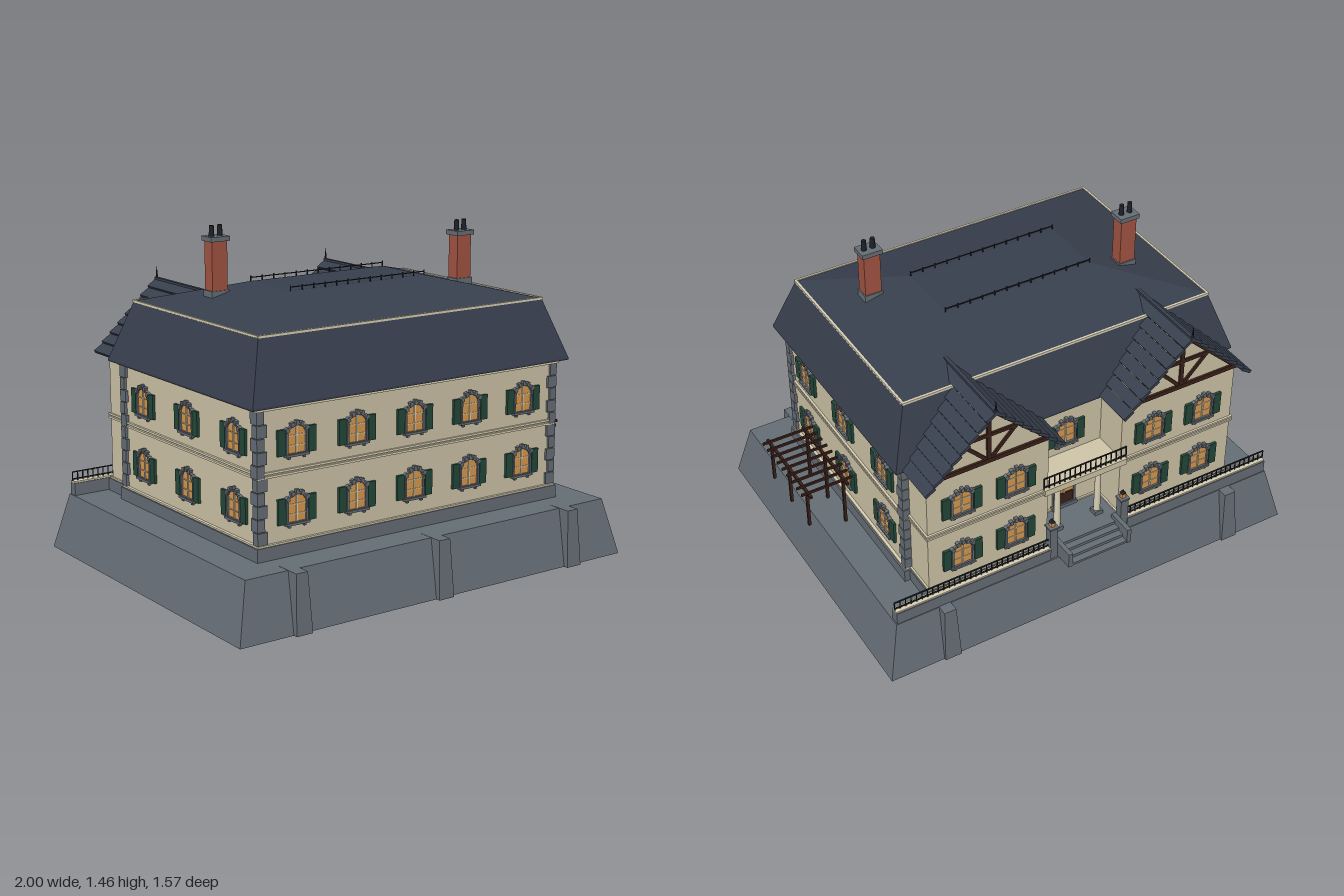
import * as THREE from 'three';

const mat = (name, color) => Object.assign(new THREE.MeshStandardMaterial({ color }), { name });
const M = {
  stone: mat('grey stone', 0x666e76), plaster: mat('cream plaster', 0xcfc5a8),
  trim: mat('pale trim', 0xd9d0b4), roof: mat('dark slate', 0x383f4d),
  timber: mat('dark timber', 0x3b2119), shutter: mat('green paint', 0x24483a),
  glow: mat('lit glass', 0xd9994e), brick: mat('red brick', 0xa35443), iron: mat('black iron', 0x1d2127),
};

function add(parent, name, geo, m, x = 0, y = 0, z = 0) {
  const mesh = new THREE.Mesh(geo, m);
  mesh.name = name;
  mesh.position.set(x, y, z);
  parent.add(mesh);
  return mesh;
}
// Box given by its two corners
function box(parent, name, m, x0, x1, y0, y1, z0, z1) {
  return add(parent, name, new THREE.BoxGeometry(x1 - x0, y1 - y0, z1 - z0), m, (x0 + x1) / 2, (y0 + y1) / 2, (z0 + z1) / 2);
}
// Flat bar between two points in a plane facing z
function bar(parent, name, m, ax, ay, bx, by, z, w, d) {
  const b = add(parent, name, new THREE.BoxGeometry(Math.hypot(bx - ax, by - ay), w, d), m, (ax + bx) / 2, (ay + by) / 2, z);
  b.rotation.z = Math.atan2(by - ay, bx - ax);
  return b;
}
// Solid through stacked rectangles [x0, x1, z0, z1, y]
function loft(rings) {
  const pts = rings.map(([a, b, c, d, y]) => [[a, y, d], [b, y, d], [b, y, c], [a, y, c]]);
  const out = [];
  const quad = (a, b, c, d) => out.push(...a, ...b, ...c, ...a, ...c, ...d);
  for (let i = 0; i + 1 < pts.length; i++)
    for (let k = 0; k < 4; k++) quad(pts[i][k], pts[i][(k + 1) % 4], pts[i + 1][(k + 1) % 4], pts[i + 1][k]);
  const lo = pts[0], hi = pts[pts.length - 1];
  quad(...hi);
  quad(lo[3], lo[2], lo[1], lo[0]);
  const g = new THREE.BufferGeometry();
  g.setAttribute('position', new THREE.Float32BufferAttribute(out, 3));
  g.computeVertexNormals();
  return g;
}
function archShape(w, y0, h, rise, T = THREE.Shape) {
  const s = new T();
  s.moveTo(-w, y0);
  s.lineTo(w, y0);
  s.lineTo(w, h);
  s.quadraticCurveTo(0, h + 2 * rise, -w, h);
  s.closePath();
  return s;
}
const extrude = (s, depth) => new THREE.ExtrudeGeometry(s, { depth, bevelEnabled: false, curveSegments: 8 });

// Arched window facing +z, origin on the wall at the sill
const frameShape = archShape(0.05, 0, 0.095, 0.03);
frameShape.holes.push(archShape(0.042, 0.004, 0.091, 0.026, THREE.Path));
const frameGeo = extrude(frameShape, 0.012);
const glassGeo = extrude(archShape(0.044, 0.002, 0.092, 0.027), 0.004);
function windowUnit(shutters = true) {
  const g = new THREE.Group();
  g.name = 'window';
  add(g, 'glass', glassGeo, M.glow);
  add(g, 'stoneSurround', frameGeo, M.stone);
  box(g, 'mullion', M.trim, -0.003, 0.003, 0, 0.118, 0.003, 0.008);
  for (const y of [0.035, 0.075]) box(g, 'glazingBar', M.trim, -0.042, 0.042, y - 0.002, y + 0.002, 0.003, 0.007);
  box(g, 'sill', M.stone, -0.056, 0.056, -0.008, 0.002, 0, 0.018);
  for (const s of [-1, 1]) {
    box(g, 'sillBracket', M.stone, s * 0.036 - 0.005, s * 0.036 + 0.005, -0.018, -0.008, 0, 0.012);
    if (shutters) box(g, 'shutter', M.shutter, s * 0.072 - 0.018, s * 0.072 + 0.018, 0, 0.105, 0, 0.012);
  }
  for (let i = -2; i <= 2; i++) {
    const v = box(g, 'archStone', M.stone, -0.007, 0.007, -0.01, 0.01, 0, 0.016);
    v.position.set(i * 0.023, 0.125 - i * i * 0.0065, 0.008);
    v.rotation.z = -i * 0.28;
  }
  return g;
}
function placeWindow(parent, x, y, z, turn) {
  const w = windowUnit();
  w.position.set(x, y, z);
  w.rotation.y = turn;
  parent.add(w);
}
// Iron railing along x
function railing(parent, name, x0, x1, y, z, h) {
  const g = new THREE.Group();
  g.name = name;
  for (const t of [0.25, 1]) box(g, 'rail', M.iron, x0, x1, y + h * t - 0.004, y + h * t, z - 0.003, z + 0.003);
  const n = Math.round((x1 - x0) / 0.025);
  for (let i = 0; i <= n; i++) {
    const x = x0 + (x1 - x0) * i / n;
    box(g, 'baluster', M.iron, x - 0.002, x + 0.002, y, y + h, z - 0.002, z + 0.002);
  }
  parent.add(g);
}
function chimney(parent, x, z, top) {
  const g = new THREE.Group();
  g.name = 'chimney';
  box(g, 'chimneyFoot', M.stone, -0.042, 0.042, 1.12, 1.19, -0.034, 0.034);
  box(g, 'chimneyStack', M.brick, -0.037, 0.037, 1.12, top - 0.02, -0.029, 0.029);
  box(g, 'chimneyCap', M.stone, -0.046, 0.046, top - 0.02, top, -0.038, 0.038);
  for (const s of [-1, 1]) add(g, 'chimneyPot', new THREE.CylinderGeometry(0.01, 0.012, 0.045, 10), M.iron, s * 0.02, top + 0.0225, 0);
  g.position.set(x, 0, z);
  parent.add(g);
}

// Gabled rear wing centred on its own x = 0
const EAVE = 0.86, RIDGE = 1.155, HALF = 0.3125;
const mainRoofZ = y => y < 1.12 ? -0.53 + (y - 0.86) / 0.26 * 0.085 : -0.445 + (y - 1.12) / 0.095 * 0.33;
function wing() {
  const g = new THREE.Group();
  g.name = 'rearWing';
  const s = new THREE.Shape([[-0.28, 0.3], [0.28, 0.3], [0.28, 0.875], [0, 1.135], [-0.28, 0.875]].map(p => new THREE.Vector2(...p)));
  add(g, 'wingWall', extrude(s, 0.2), M.plaster, 0, 0, -0.645);
  box(g, 'wingPlinth', M.stone, -0.293, 0.293, 0.245, 0.3, -0.658, -0.45);
  box(g, 'plinthTrim', M.trim, -0.288, 0.288, 0.298, 0.307, -0.653, -0.45);
  for (const y of [0.573, 0.588]) box(g, 'beltCourse', M.trim, -0.288, 0.288, y, y + 0.009, -0.654, -0.45);
  // Lapped roof courses
  const n = 8;
  for (const side of [-1, 1]) for (let i = 0; i < n; i++) {
    const t0 = i / n, t1 = (i + 1) / n;
    const yTop = EAVE + (RIDGE - EAVE) * t1;
    const z1 = mainRoofZ(yTop) + 0.02;
    const b = bar(g, 'roofCourse', M.roof, side * HALF * (1 - t0 + 0.01), EAVE + (RIDGE - EAVE) * t0 + 0.001,
      side * HALF * (1 - t1), yTop - 0.006, (z1 - 0.71) / 2, 0.014, z1 + 0.71);
    b.rotation.z -= side * -0.04;
  }
  box(g, 'ridgeCap', M.roof, -0.008, 0.008, 1.147, 1.161, -0.712, -0.31);
  add(g, 'finial', new THREE.ConeGeometry(0.006, 0.06, 8), M.iron, 0, 1.185, -0.705);
  // Half-timbered gable
  const z = -0.648;
  bar(g, 'tieBeam', M.timber, -0.285, 0.872, 0.285, 0.872, z, 0.02, 0.014);
  bar(g, 'kingPost', M.timber, 0, 0.87, 0, 1.125, z, 0.018, 0.012);
  bar(g, 'collarBeam', M.timber, -0.13, 1.0, 0.13, 1.0, z, 0.016, 0.011);
  for (const d of [-1, 1]) {
    bar(g, 'brace', M.timber, d * 0.01, 0.88, d * 0.125, 1.0, z, 0.015, 0.01);
    bar(g, 'rafter', M.timber, d * 0.285, 0.865, 0, 1.13, z, 0.018, 0.012);
    for (const y of [0.375, 0.652]) placeWindow(g, d * 0.125, y, -0.645, Math.PI);
  }
  return g;
}

export function createModel() {
  const root = new THREE.Group();
  root.name = 'manorHouse';
  const h = new THREE.Group();
  h.name = 'house';
  h.position.x = -0.02;
  root.add(h);

  // Sloping terrace with buttresses
  add(h, 'terrace', loft([[-0.98, 0.98, -0.76, 0.765, 0], [-0.92, 0.92, -0.705, 0.712, 0.245]]), M.stone);
  for (const x of [-0.698, 0, 0.698]) {
    add(h, 'frontButtress', loft([[x - 0.038, x + 0.038, 0.7, 0.785, 0], [x - 0.027, x + 0.027, 0.65, 0.767, 0.246]]), M.stone);
    if (x) add(h, 'backButtress', loft([[x - 0.038, x + 0.038, -0.77, -0.7, 0], [x - 0.027, x + 0.027, -0.75, -0.65, 0.246]]), M.stone);
  }

  // Main block
  box(h, 'plinth', M.stone, -0.775, 0.775, 0.245, 0.3, -0.505, 0.575);
  box(h, 'plinthTrim', M.trim, -0.768, 0.768, 0.298, 0.307, -0.498, 0.57);
  box(h, 'mainWalls', M.plaster, -0.755, 0.755, 0.3, 0.86, -0.49, 0.558);
  for (const y of [0.573, 0.588]) box(h, 'beltCourse', M.trim, -0.765, 0.765, y, y + 0.009, -0.498, 0.567);
  box(h, 'cornice', M.trim, -0.775, 0.775, 0.842, 0.858, -0.505, 0.575);
  for (const sx of [-1, 1]) for (const zc of [-0.49, 0.558]) for (let i = 0; i < 10; i++) {
    const a = i % 2 ? 0.022 : 0.034, b = i % 2 ? 0.034 : 0.022, y = 0.309 + i * 0.0535, sz = Math.sign(zc);
    add(h, 'quoin', new THREE.BoxGeometry(a + 0.013, 0.05, b + 0.013), M.stone,
      sx * (0.768 - (a + 0.013) / 2), y + 0.025, zc + sz * (0.01 - (b + 0.013) / 2));
  }
  for (const y of [0.375, 0.652]) {
    for (let i = -2; i <= 2; i++) placeWindow(h, i * 0.291, y, 0.558, 0);
    for (const z of [-0.315, 0.038, 0.39]) for (const s of [-1, 1]) placeWindow(h, s * 0.755, y, z, s * Math.PI / 2);
  }
  placeWindow(h, 0, 0.652, -0.49, Math.PI);

  // Mansard roof with cresting
  add(h, 'mainRoof', loft([[-0.805, 0.805, -0.53, 0.6, 0.857], [-0.805, 0.805, -0.53, 0.6, 0.865],
    [-0.72, 0.72, -0.445, 0.512, 1.12], [-0.345, 0.345, -0.115, 0.18, 1.213]]), M.roof);
  for (const z of [-0.445, 0.512]) box(h, 'roofTrim', M.trim, -0.724, 0.724, 1.115, 1.125, z - 0.005, z + 0.005);
  for (const x of [-0.72, 0.72]) box(h, 'roofTrim', M.trim, x - 0.005, x + 0.005, 1.115, 1.125, -0.445, 0.512);
  for (const z of [-0.115, 0.18]) {
    box(h, 'crestRail', M.iron, -0.345, 0.345, 1.226, 1.23, z - 0.002, z + 0.002);
    for (let i = 0; i <= 12; i++) box(h, 'crestPost', M.iron, i * 0.0575 - 0.347, i * 0.0575 - 0.343, 1.205, 1.235, z - 0.002, z + 0.002);
  }
  chimney(h, -0.505, -0.13, 1.415);
  chimney(h, 0.52, 0.205, 1.395);

  // Two rear wings
  for (const s of [-1, 1]) {
    const w = wing();
    w.position.x = s * 0.457;
    h.add(w);
  }

  // Porch, door and balcony between the wings
  box(h, 'porchFloor', M.stone, -0.18, 0.18, 0.24, 0.3, -0.665, -0.48);
  const door = windowUnit(false);
  door.name = 'glazedDoor';
  door.scale.set(1.1, 1.6, 1);
  door.position.set(0, 0.315, -0.49);
  door.rotation.y = Math.PI;
  h.add(door);
  box(h, 'doorPanel', M.timber, -0.044, 0.044, 0.3, 0.375, -0.499, -0.49);
  box(h, 'balconySlab', M.plaster, -0.2, 0.2, 0.57, 0.6, -0.662, -0.48);
  railing(h, 'balconyRailing', -0.2, 0.2, 0.6, -0.652, 0.06);
  for (const s of [-1, 1]) {
    const x = s * 0.1;
    add(h, 'porchColumn', new THREE.CylinderGeometry(0.012, 0.015, 0.27, 14), M.trim, x, 0.435, -0.6);
    box(h, 'columnBase', M.stone, x - 0.02, x + 0.02, 0.3, 0.32, -0.62, -0.58);
    box(h, 'columnCapital', M.trim, x - 0.02, x + 0.02, 0.55, 0.57, -0.62, -0.58);
    // Garden wall, railing and lantern post
    const [a, b] = s < 0 ? [-0.915, -0.19] : [0.19, 0.915];
    box(h, 'gardenWall', M.stone, a, b, 0.24, 0.3, -0.702, -0.662);
    box(h, 'wallCoping', M.trim, a, b, 0.3, 0.307, -0.698, -0.666);
    railing(h, 'wallRailing', a, b, 0.307, -0.683, 0.042);
    const px = s * 0.175;
    box(h, 'gatePost', M.stone, px - 0.018, px + 0.018, 0.24, 0.405, -0.698, -0.662);
    box(h, 'postCap', M.stone, px - 0.022, px + 0.022, 0.405, 0.413, -0.702, -0.658);
    box(h, 'lantern', M.glow, px - 0.009, px + 0.009, 0.413, 0.436, -0.689, -0.671);
    add(h, 'lanternRoof', new THREE.ConeGeometry(0.016, 0.02, 4), M.iron, px, 0.446, -0.68).rotation.y = Math.PI / 4;
    box(h, 'stairCheek', M.stone, s * 0.145 - 0.01, s * 0.145 + 0.01, 0.25, 0.32, -0.783, -0.66);
  }
  for (let i = 0; i < 4; i++) box(h, 'step', M.stone, -0.14, 0.14, 0.25, 0.3 - i * 0.013, -0.69 - i * 0.03, -0.66 - i * 0.03);

  // Timber pergola
  const p = new THREE.Group();
  p.name = 'pergola';
  h.add(p);
  for (const x of [0.818, 0.985]) {
    box(p, 'pergolaBeam', M.timber, x - 0.006, x + 0.006, 0.48, 0.492, -0.095, 0.335);
    for (const z of [-0.05, 0.123, 0.297]) box(p, 'pergolaPost', M.timber, x - 0.006, x + 0.006, x < 0.9 ? 0.245 : 0.3, 0.482, z - 0.006, z + 0.006);
  }
  for (let i = 0; i < 9; i++) {
    const z = -0.073 + i * 0.0475;
    box(p, 'pergolaRafter', M.timber, 0.785, 1.02, 0.492, 0.503, z - 0.004, z + 0.004);
  }
  return root;
}
